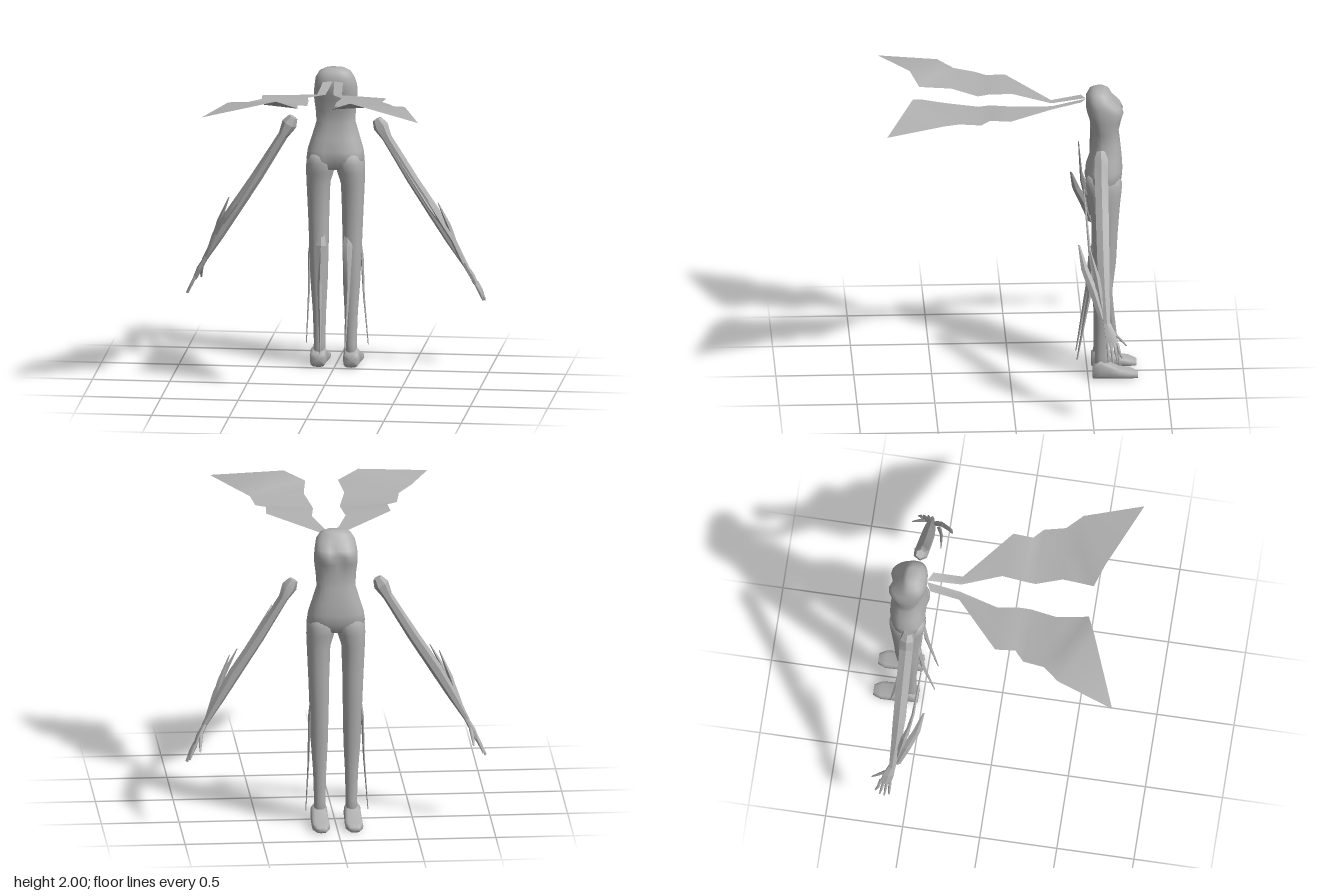
import * as THREE from 'three';
import { toCreasedNormals } from 'three/addons/utils/BufferGeometryUtils.js';

const sup = (v, e) => Math.sign(v) * Math.abs(v) ** e;

// Skin a closed surface over rings of [x, y, z] points, with capped ends
function loft(rings) {
  const n = rings[0].length, pos = rings.flat(2), idx = [];
  for (let i = 0; i < rings.length - 1; i++) {
    for (let j = 0; j < n; j++) {
      const a = i * n + j, b = i * n + (j + 1) % n;
      idx.push(a, b, a + n, b, b + n, a + n);
    }
  }
  [0, rings.length - 1].forEach((r, end) => {
    const c = pos.length / 3;
    for (let k = 0; k < 3; k++) pos.push(rings[r].reduce((s, p) => s + p[k], 0) / n);
    for (let j = 0; j < n; j++) {
      const a = r * n + j, b = r * n + (j + 1) % n;
      idx.push(c, end ? a : b, end ? b : a);
    }
  });
  const geo = new THREE.BufferGeometry();
  geo.setAttribute('position', new THREE.Float32BufferAttribute(pos, 3));
  geo.setIndex(idx);
  geo.computeVertexNormals();
  return geo;
}

const ring = (n, f) => Array.from({ length: n }, (_, j) => {
  const t = (j / n) * Math.PI * 2;
  return f(Math.sin(t), Math.cos(t));
});

// Horizontal sections, bottom to top: [y, xMin, xMax, zMin, zMax]
const column = (rows, e, shape = (p) => p) => loft(rows.map(([y, x0, x1, z0, z1]) =>
  ring(24, (s, c) => shape([
    (x0 + x1) / 2 + (x1 - x0) / 2 * sup(s, e), y, (z0 + z1) / 2 + (z1 - z0) / 2 * sup(c, e)
  ]))));

// Sections along a path: [x, y, z, half thickness, half width in z]
function limb(path, sides = 6) {
  return loft(path.map(([x, y, z, ru, rz], i) => {
    const p = path[Math.max(i - 1, 0)], q = path[Math.min(i + 1, path.length - 1)];
    const dx = q[0] - p[0], dy = q[1] - p[1], l = Math.hypot(dx, dy) || 1;
    return ring(sides, (s, c) => [x - dy / l * ru * c, y + dx / l * ru * c, z + rz * s]);
  }));
}

function mirrored(geo) {
  const m = geo.clone().scale(-1, 1, 1);
  const index = m.index ? Array.from(m.index.array) : [...Array(m.attributes.position.count).keys()];
  for (let i = 0; i < index.length; i += 3) [index[i], index[i + 1]] = [index[i + 1], index[i]];
  m.setIndex(index);
  m.computeVertexNormals();
  return m;
}

export function createModel() {
  const model = new THREE.Group();
  model.name = 'wingedFigure';
  const grey = new THREE.MeshStandardMaterial({ color: 0xb0b0b0, side: THREE.DoubleSide });
  grey.name = 'grey';

  const add = (name, geo) => {
    const mesh = new THREE.Mesh(geo, grey);
    mesh.name = name;
    model.add(mesh);
  };
  const pair = (name, geo) => {
    add('left' + name, geo);
    add('right' + name, mirrored(geo));
  };
  const creased = (geo) => toCreasedNormals(geo, 0.7);

  // Torso, with a cleft between the chest lobes and a hollow spine at the seat
  const torso = [
    [1.3, 0.16, -0.69, -0.51], [1.36, 0.188, -0.72, -0.485], [1.42, 0.18, -0.725, -0.49],
    [1.5, 0.155, -0.72, -0.515], [1.6, 0.125, -0.71, -0.535], [1.68, 0.13, -0.7, -0.53],
    [1.76, 0.14, -0.72, -0.51], [1.81, 0.14, -0.74, -0.495], [1.85, 0.135, -0.72, -0.49],
    [1.9, 0.125, -0.665, -0.49], [1.94, 0.1, -0.645, -0.51], [1.96, 0.06, -0.62, -0.54]
  ].map(([y, r, z0, z1]) => [y, -r, r, z0, z1]);
  add('torso', column(torso, 0.8, ([x, y, z]) => {
    const mid = Math.exp(-((x / 0.035) ** 2));
    if (z < -0.6) z += 0.035 * mid * Math.exp(-(((y - 1.81) / 0.045) ** 2));
    else z -= 0.02 * mid * Math.exp(-(((y - 1.34) / 0.06) ** 2));
    return [x, y, z];
  }));

  // Legs
  pair('Leg', column([
    [0.05, 0.065, 0.148, -0.64, -0.535], [0.15, 0.065, 0.138, -0.63, -0.545],
    [0.35, 0.06, 0.145, -0.635, -0.545], [0.55, 0.05, 0.16, -0.65, -0.535],
    [0.8, 0.045, 0.17, -0.68, -0.53], [1.0, 0.042, 0.178, -0.69, -0.53],
    [1.2, 0.035, 0.187, -0.705, -0.51], [1.28, 0.01, 0.19, -0.715, -0.495],
    [1.34, 0, 0.188, -0.72, -0.485], [1.4, 0.01, 0.17, -0.7, -0.5]
  ], 0.9));

  // Feet: sections from heel to toe [z, half width, height]
  pair('Foot', loft([
    [-0.53, 0.05, 0.09], [-0.58, 0.055, 0.13], [-0.64, 0.055, 0.1],
    [-0.7, 0.058, 0.068], [-0.77, 0.058, 0.055], [-0.82, 0.035, 0.035]
  ].map(([z, r, h]) => ring(16, (s, c) => [0.107 + r * sup(s, 0.7), h * (0.5 + 0.5 * sup(c, 0.6)), z]))));

  // Trailing calf fins, behind and outside each leg
  pair('BackCalfFin', creased(limb([
    [0.085, 0.87, -0.55, 0.02, 0.01], [0.085, 0.8, -0.525, 0.033, 0.012],
    [0.09, 0.55, -0.505, 0.016, 0.014], [0.08, 0.11, -0.43, 0.003, 0.004]
  ], 4)));
  pair('OuterCalfFin', creased(limb([
    [0.16, 0.83, -0.6, 0.006, 0.01], [0.17, 0.72, -0.615, 0.01, 0.03],
    [0.178, 0.45, -0.645, 0.006, 0.022], [0.2, 0.12, -0.7, 0.003, 0.004]
  ], 4)));

  // Arms, detached from the body
  pair('Arm', creased(limb([
    [0.27, 1.63, -0.575, 0.03, 0.03], [0.295, 1.585, -0.575, 0.05, 0.05],
    [0.335, 1.51, -0.575, 0.032, 0.05], [0.5, 1.24, -0.575, 0.037, 0.048],
    [0.65, 1.01, -0.575, 0.04, 0.045], [0.75, 0.84, -0.58, 0.032, 0.036],
    [0.848, 0.67, -0.59, 0.016, 0.024]
  ])));

  // Forearm fins sweeping back from the wrist
  pair('ForearmFin', creased(limb([
    [0.83, 0.7, -0.56, 0.012, 0.02], [0.77, 0.86, -0.51, 0.016, 0.03],
    [0.7, 0.99, -0.455, 0.014, 0.024], [0.62, 1.13, -0.42, 0.003, 0.006]
  ], 4)));
  pair('SideFin', creased(limb([
    [0.8, 0.76, -0.56, 0.015, 0.02], [0.74, 0.95, -0.53, 0.016, 0.02],
    [0.675, 1.11, -0.49, 0.003, 0.004]
  ], 4)));
  pair('LongSpine', creased(limb([
    [0.72, 0.93, -0.52, 0.01, 0.015], [0.62, 1.07, -0.49, 0.008, 0.01],
    [0.4, 1.43, -0.46, 0.002, 0.003]
  ], 4)));

  // Hands
  pair('Palm', creased(limb([
    [0.84, 0.68, -0.59, 0.015, 0.024], [0.88, 0.61, -0.61, 0.018, 0.04],
    [0.912, 0.54, -0.625, 0.013, 0.04]
  ])));
  [[0.955, 0.45, -0.595], [0.965, 0.445, -0.625], [0.96, 0.45, -0.655], [0.945, 0.47, -0.685]]
    .forEach(([x, y, z], i) => pair('Finger' + (i + 1), limb([
      [0.905, 0.56, -0.595 - i * 0.02, 0.011, 0.011],
      [0.935, 0.5, (z - 0.595 - i * 0.02) / 2, 0.01, 0.01], [x, y, z, 0.005, 0.005]
    ])));
  pair('Thumb', limb([
    [0.865, 0.63, -0.62, 0.012, 0.016], [0.875, 0.58, -0.67, 0.011, 0.012],
    [0.88, 0.53, -0.715, 0.005, 0.005]
  ]));

  // Wings: inner edge and outer edge points, joined through a middle column
  const rows = [
    [[0.005, 1.89, -0.49], [0.065, 1.89, -0.46]], [[0.025, 1.85, -0.27], [0.08, 1.85, -0.27]],
    [[0.108, 1.885, -0.02], [0.4, 1.9, 0.01]], [[0.09, 1.89, 0.13], [0.39, 1.905, 0.14]],
    [[0.088, 1.88, 0.2], [0.455, 1.9, 0.2]], [[0.13, 1.92, 0.37], [0.48, 1.92, 0.34]],
    [[0.12, 1.93, 0.46], [0.57, 1.945, 0.44]], [[0.105, 1.945, 0.575], [0.7, 1.925, 0.815]]
  ];
  const points = rows.flatMap(([a, b], i) => [
    a, i === rows.length - 1 ? [0.24, 2, 0.63] : a.map((v, k) => (v + b[k]) / 2), b
  ]);
  const faces = [];
  for (let i = 0; i < rows.length - 1; i++) {
    for (let j = 0; j < 2; j++) {
      const a = i * 3 + j;
      faces.push(a, a + 3, a + 1, a + 1, a + 3, a + 4);
    }
  }
  const wing = new THREE.BufferGeometry();
  wing.setAttribute('position', new THREE.Float32BufferAttribute(points.flat(), 3));
  wing.setIndex(faces);
  wing.computeVertexNormals();
  pair('Wing', wing);

  return model;
}
